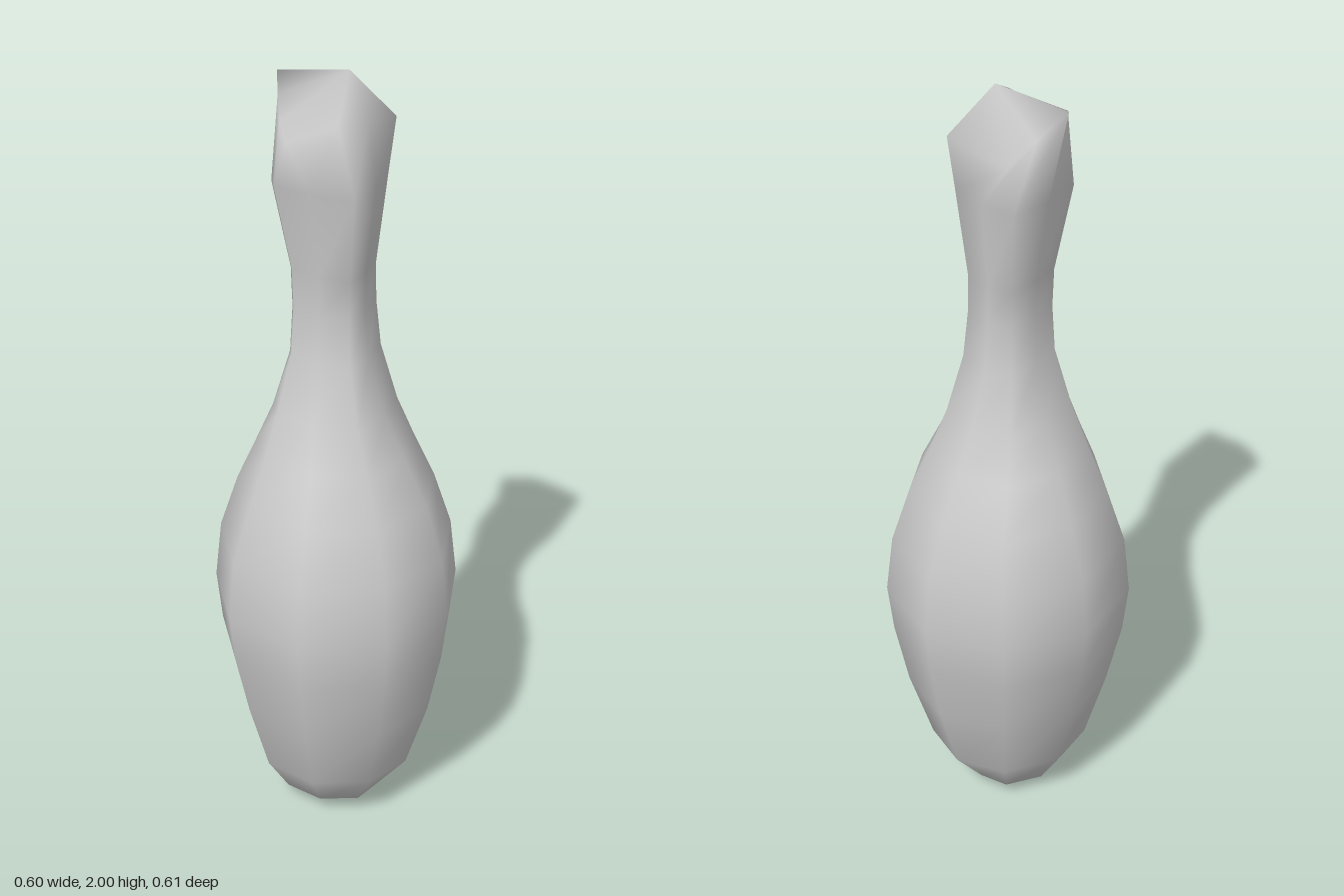
import * as THREE from 'three';

const SIDES = 9;

// Unit outlines running from +x towards +z: a nonagon for the belly, a soft diamond for the neck
const nonagon = Array.from({ length: SIDES }, (_, k) => {
  const a = (k / SIDES) * Math.PI * 2;
  const x = Math.cos(a);
  return [x < 0 ? x / 0.94 : x, Math.sin(a) / 0.985];
});
const diamond = [
  [1, 0], [0.56, 0.56], [0, 1], [-0.56, 0.56], [-1, 0.08],
  [-1, -0.08], [-0.56, -0.56], [0, -1], [0.56, -0.56],
];

// Stations: height, reach to -x, +x, -z, +z, and how far the outline turns to a diamond
const stations = [
  [0.045, 0.15, 0.10, 0.14, 0.14, 0],
  [0.14, 0.205, 0.19, 0.195, 0.20, 0],
  [0.33, 0.255, 0.25, 0.25, 0.26, 0],
  [0.50, 0.29, 0.285, 0.29, 0.295, 0],
  [0.63, 0.303, 0.30, 0.305, 0.305, 0],
  [0.78, 0.288, 0.283, 0.29, 0.288, 0],
  [0.92, 0.245, 0.238, 0.25, 0.24, 0],
  [1.04, 0.20, 0.185, 0.20, 0.195, 0.2],
  [1.15, 0.162, 0.14, 0.15, 0.155, 0.6],
  [1.30, 0.122, 0.098, 0.112, 0.112, 1],
  [1.42, 0.115, 0.086, 0.10, 0.10, 1],
  [1.52, 0.118, 0.085, 0.11, 0.11, 1],
  [1.74, 0.16, 0.112, 0.143, 0.145, 0.9],
];

// Uneven rim around the top of the head
const headRim = [
  [0.13, 1.88, 0], [0.05, 1.90, 0.07], [-0.035, 1.92, 0.14],
  [-0.145, 1.87, 0.085], [-0.147, 1.90, 0.03], [-0.138, 1.94, -0.04],
  [-0.127, 1.97, -0.11], [-0.05, 1.92, -0.14], [0.02, 1.87, -0.166],
];

function ring([y, left, right, back, front, blend]) {
  return nonagon.map(([nx, nz], k) => {
    const x = THREE.MathUtils.lerp(nx, diamond[k][0], blend);
    const z = THREE.MathUtils.lerp(nz, diamond[k][1], blend);
    return [x * (x < 0 ? left : right), y, z * (z < 0 ? back : front)];
  });
}

// Joins rings from bottom to top and closes both ends with a tip
function loft(rings, bottomTip, topTip) {
  const points = [...rings.flat(), bottomTip, topTip];
  const bottom = points.length - 2;
  const top = points.length - 1;
  const lastRow = (rings.length - 1) * SIDES;
  const index = [];
  for (let k = 0; k < SIDES; k++) {
    const next = (k + 1) % SIDES;
    index.push(bottom, k, next);
    for (let row = 0; row < lastRow; row += SIDES) {
      const a = row + k, b = row + next;
      index.push(a, a + SIDES, b, b, a + SIDES, b + SIDES);
    }
    index.push(top, lastRow + next, lastRow + k);
  }
  const geometry = new THREE.BufferGeometry();
  geometry.setAttribute('position', new THREE.Float32BufferAttribute(points.flat(), 3));
  geometry.setIndex(index);
  geometry.computeVertexNormals();
  return geometry;
}

export function createModel() {
  const group = new THREE.Group();
  group.name = 'bowlingPin';

  // One smooth-shaded skin: foot, belly, neck and head
  const skin = loft([...stations.map(ring), headRim], [-0.025, 0, 0], [0.02, 2, 0]);
  const pin = new THREE.Mesh(skin, new THREE.MeshStandardMaterial({ color: 0xcccccc }));
  pin.name = 'pinBody';
  group.add(pin);

  return group;
}
